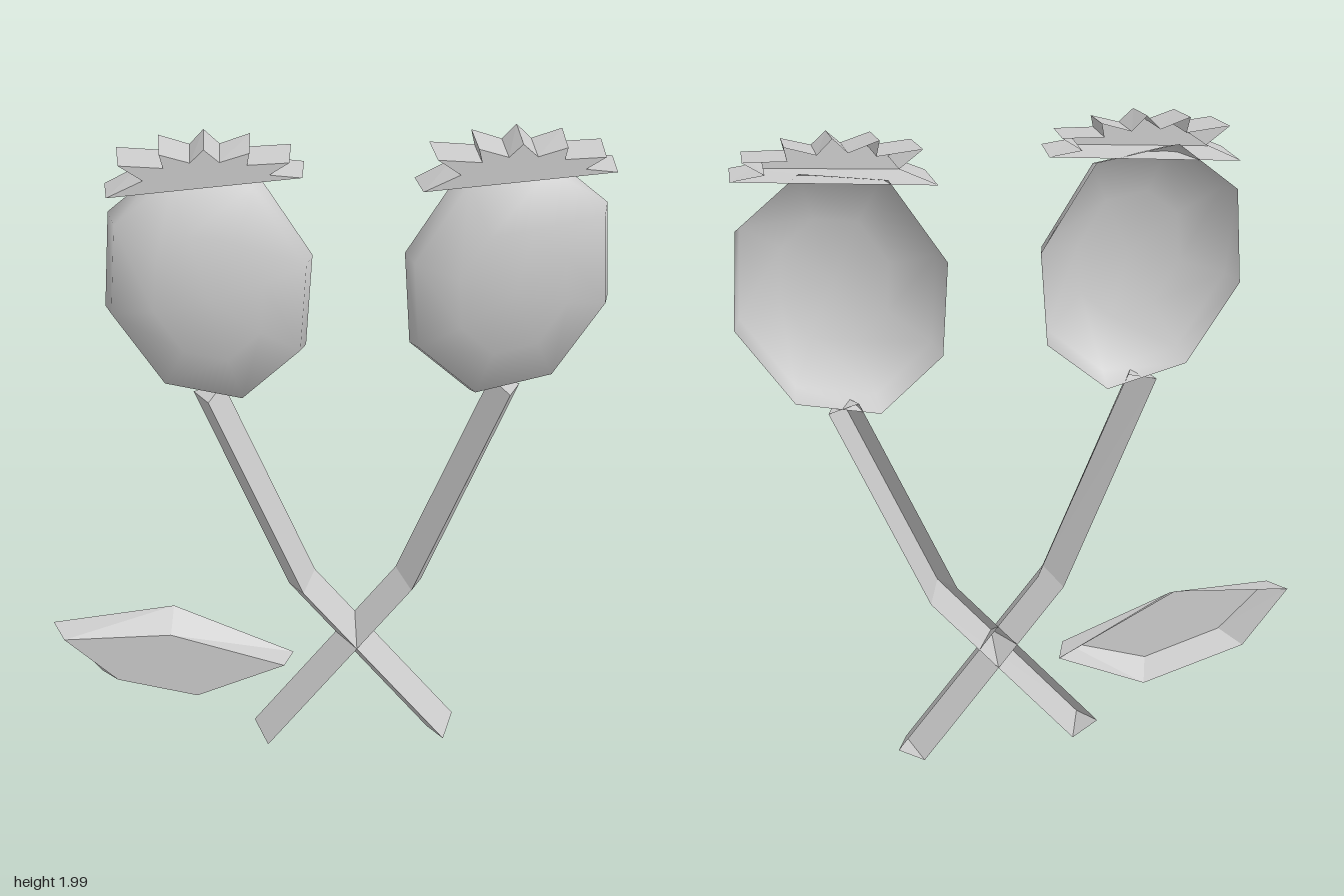
import * as THREE from 'three';

const grey = new THREE.MeshStandardMaterial({ color: 0xcccccc, side: THREE.DoubleSide });
grey.name = 'pale grey';

const BACK = -0.07; // plane of the open backs
const AXIS = 0.11;  // mirror line of the two stalks

// Mirror an outline about the stalk axis, keeping it counter-clockwise
const mirror = (pts) => pts.map(([x, y]) => [2 * AXIS - x, y]).reverse();
const shift = (pts, dx) => pts.map(([x, y]) => [x + dx, y]);
const scaleAbout = (pts, [cx, cy], sx, sy = sx) =>
  pts.map(([x, y]) => [cx + (x - cx) * sx, cy + (y - cy) * sy]);

// Shell lofted through outlines stacked from back to front, open at the back.
// The front closes to an apex if one is given, otherwise with a flat face.
function shell(name, rings, { apex = null, smooth = false } = {}) {
  const n = rings[0].pts.length;
  const pos = [], idx = [];
  for (const { pts, z } of rings) for (const [x, y] of pts) pos.push(x, y, z);
  for (let r = 0; r < rings.length - 1; r++) {
    for (let i = 0; i < n; i++) {
      const j = (i + 1) % n, a = r * n + i, b = r * n + j;
      idx.push(a, b, b + n, a, b + n, a + n);
    }
  }
  const last = (rings.length - 1) * n;
  if (apex) {
    pos.push(...apex);
    for (let i = 0; i < n; i++) idx.push(last + i, last + (i + 1) % n, last + n);
  } else {
    const contour = rings[rings.length - 1].pts.map(([x, y]) => new THREE.Vector2(x, y));
    for (const t of THREE.ShapeUtils.triangulateShape(contour, [])) idx.push(...t.map((k) => last + k));
  }
  return finish(name, pos, idx, smooth);
}

function finish(name, pos, idx, smooth) {
  let geo = new THREE.BufferGeometry();
  geo.setAttribute('position', new THREE.Float32BufferAttribute(pos, 3));
  geo.setIndex(idx);
  if (!smooth) geo = geo.toNonIndexed();
  geo.computeVertexNormals();
  const mesh = new THREE.Mesh(geo, grey);
  mesh.name = name;
  return mesh;
}

// Bent stalk: V-shaped section with a front ridge, open back and closed ends
function stalk(name, flip) {
  const sections = [ // upper-left edge, lower-right edge
    [[-0.206, 0.06], [-0.127, 0.008]],
    [[0.233, 0.617], [0.312, 0.57]],
    [[0.495, 1.25], [0.58, 1.228]],
  ];
  const pos = [], idx = [];
  const fx = (x) => (flip ? 2 * AXIS - x : x);
  for (const [l, r] of sections) {
    pos.push(fx(l[0]), l[1], BACK);
    pos.push(fx((l[0] + r[0]) / 2), (l[1] + r[1]) / 2, 0.03);
    pos.push(fx(r[0]), r[1], BACK);
  }
  for (let s = 0; s < 2; s++) {
    for (let k = 0; k < 2; k++) {
      const a = s * 3 + k;
      idx.push(a, a + 1, a + 4, a, a + 4, a + 3);
    }
  }
  idx.push(0, 2, 1, 6, 7, 8);
  if (flip) idx.reverse();
  return finish(name, pos, idx, false);
}

export function createModel() {
  const group = new THREE.Group();
  group.name = 'twin seed heads';

  // Stalks, crossing near the bottom
  group.add(stalk('leftStalk', false), stalk('rightStalk', true));

  // Smooth eight-sided domed heads
  const headOutline = [
    [-0.17, 1.88], [-0.4, 1.915], [-0.573, 1.775], [-0.595, 1.5],
    [-0.447, 1.268], [-0.215, 1.212], [-0.037, 1.367], [-0.018, 1.638],
  ];
  const addHead = (name, pts, cx) => {
    const c = [cx, 1.565];
    group.add(shell(name, [
      { pts, z: BACK },
      { pts: scaleAbout(pts, c, 0.93), z: 0 },
      { pts: scaleAbout(pts, c, 0.52), z: 0.055 },
    ], { apex: [cx, 1.565, 0.07], smooth: true }));
  };
  addHead('rightHead', headOutline, -0.307);
  addHead('leftHead', mirror(headOutline), 0.527);

  // Spiky crowns, both tilted the same way
  const crownOutline = [
    [-0.577, 1.855], [-0.04, 1.907], [-0.13, 1.918], [-0.075, 1.955], [-0.19, 1.95],
    [-0.183, 1.987], [-0.265, 1.96], [-0.307, 2.0], [-0.345, 1.96], [-0.428, 1.987],
    [-0.418, 1.945], [-0.54, 1.955], [-0.475, 1.907],
  ];
  const addCrown = (name, dx) => {
    const pts = shift(crownOutline, dx);
    group.add(shell(name, [
      { pts, z: BACK },
      { pts: scaleAbout(pts, [-0.307 + dx, 1.88], 0.96, 0.87), z: 0.057 },
    ]));
  };
  addCrown('rightCrown', 0);
  addCrown('leftCrown', 0.836);

  // Bevelled leaf beside the stalks
  group.add(shell('leaf', [
    { pts: [[-0.815, 0.453], [-0.677, 0.267], [-0.355, 0.177], [-0.08, 0.315], [-0.445, 0.5]], z: BACK },
    { pts: [[-0.778, 0.44], [-0.624, 0.287], [-0.382, 0.218], [-0.112, 0.32], [-0.455, 0.445]], z: 0.01 },
  ]));

  return group;
}
